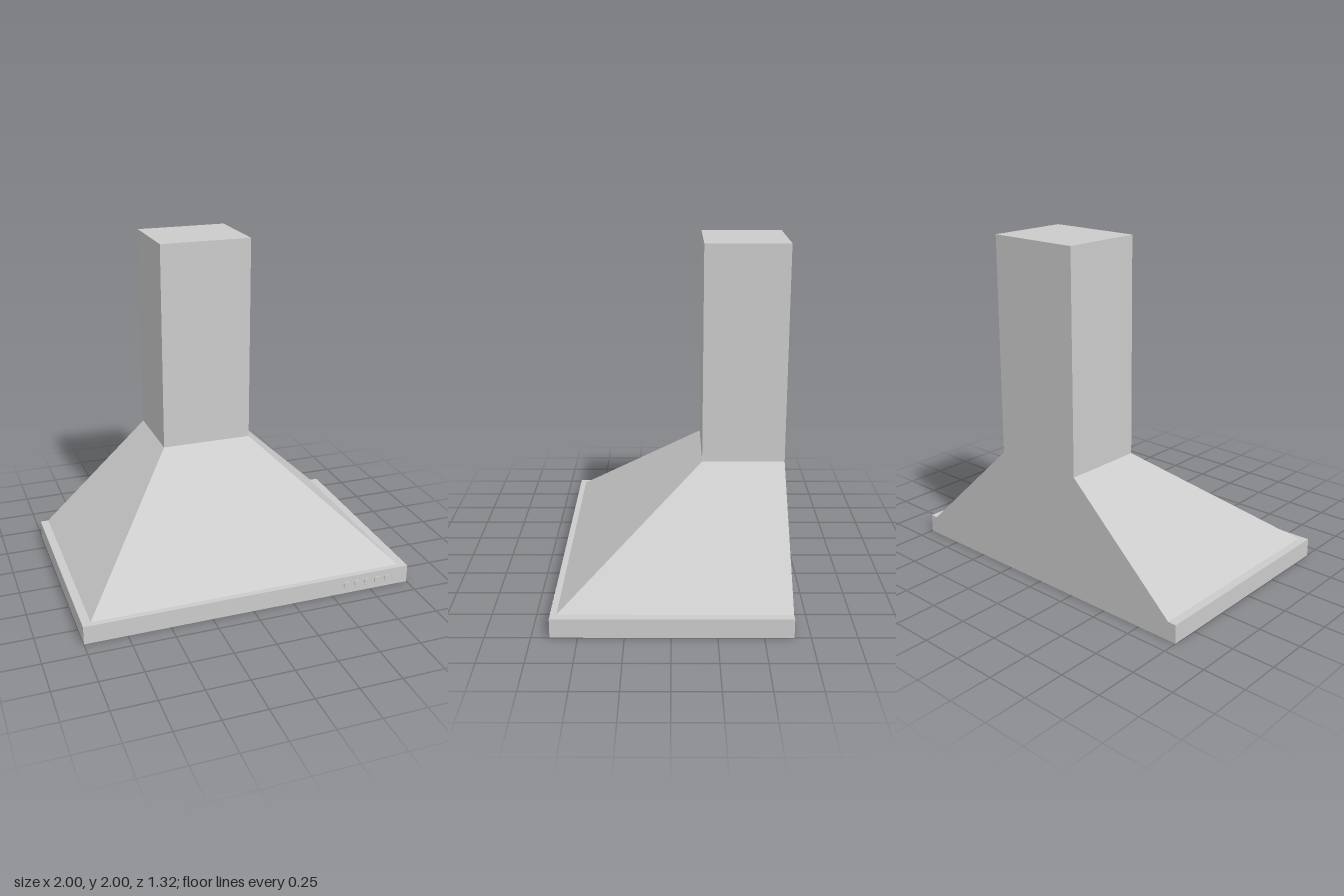
import * as THREE from 'three';

const BACK = -0.66, FRONT = 0.65;
const material = new THREE.MeshStandardMaterial({ color: 0xcccccc });

function add(group, name, geometry) {
  const mesh = new THREE.Mesh(geometry, material);
  mesh.name = name;
  group.add(mesh);
  return mesh;
}

function rectangle(path, x0, x1, z0, z1) {
  path.moveTo(x0, z0);
  path.lineTo(x1, z0);
  path.lineTo(x1, z1);
  path.lineTo(x0, z1);
  path.closePath();
  return path;
}

// Box given by its two opposite corners
function block(x0, x1, y0, y1, z0, z1) {
  return new THREE.BoxGeometry(x1 - x0, y1 - y0, z1 - z0)
    .translate((x0 + x1) / 2, (y0 + y1) / 2, (z0 + z1) / 2);
}

// Horizontal slab with rectangular openings
function slab(y0, y1, openings) {
  const shape = rectangle(new THREE.Shape(), -1, 1, BACK, FRONT);
  for (const o of openings) shape.holes.push(rectangle(new THREE.Path(), ...o));
  return new THREE.ExtrudeGeometry(shape, { depth: y1 - y0, bevelEnabled: false })
    .rotateX(Math.PI / 2)
    .translate(0, y1, 0);
}

export function createModel() {
  const model = new THREE.Group();
  model.name = 'rangeHood';

  // Base tray: filter slots and shallow lamp recesses open from below
  const slots = [], lamps = [];
  for (const side of [-1, 1]) {
    for (let i = 0; i < 6; i++) {
      const x = side * (0.14 + i * 0.13);
      slots.push([x - 0.027, x + 0.027, -0.34, 0.5]);
    }
    const c = side * 0.465;
    lamps.push([c - 0.175, c + 0.175, -0.625, -0.42]);
  }
  const base = new THREE.Group();
  base.name = 'base';
  model.add(base);
  add(base, 'undersidePanel', slab(0, 0.02, [...slots, ...lamps]));
  add(base, 'filterSlots', slab(0.02, 0.08, slots));
  add(base, 'baseTop', block(-1, 1, 0.08, 0.11, BACK, FRONT));

  // Sloping canopy: a box whose upper corners draw in to the chimney
  const canopy = block(-0.95, 0.95, 0.11, 0.735, BACK, 0.615);
  const p = canopy.attributes.position;
  for (let i = 0; i < p.count; i++) {
    if (p.getY(i) < 0.5) continue;
    p.setX(i, Math.sign(p.getX(i)) * 0.28);
    if (p.getZ(i) > 0) p.setZ(i, -0.18);
  }
  canopy.computeVertexNormals();
  add(model, 'canopy', canopy);

  // Chimney
  add(model, 'chimney', block(-0.28, 0.28, 0.735, 2, BACK, -0.18));

  // Row of push buttons on the front edge
  const buttons = new THREE.Group();
  buttons.name = 'buttons';
  model.add(buttons);
  const buttonGeometry = new THREE.CylinderGeometry(0.022, 0.022, 0.02, 24).rotateX(Math.PI / 2);
  for (let i = 0; i < 5; i++) {
    add(buttons, 'button', buttonGeometry).position.set(0.597 + i * 0.067, 0.055, FRONT);
  }

  return model;
}
